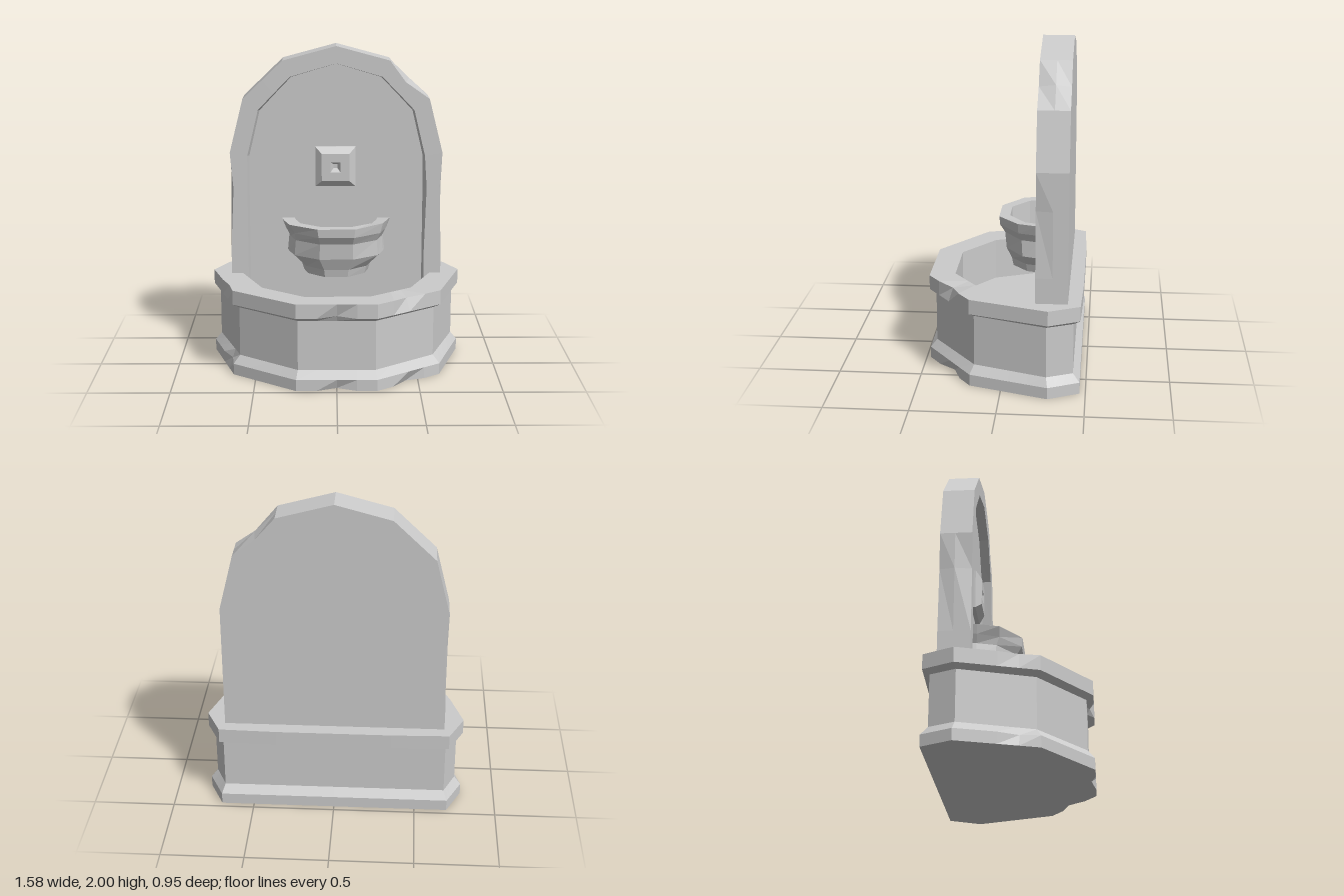
import * as THREE from 'three';

const stone = () => new THREE.MeshStandardMaterial({ color: 0xcccccc, flatShading: true, side: THREE.DoubleSide });

// Skin a series of equal-length cross-sections with flat facets.
function loft(name, rings, closed) {
  const pos = [];
  for (let i = 0; i < rings.length - 1; i++) {
    const lo = rings[i], hi = rings[i + 1], n = lo.length;
    for (let j = 0; j < (closed ? n : n - 1); j++) {
      const k = (j + 1) % n;
      pos.push(...lo[j], ...lo[k], ...hi[k], ...lo[j], ...hi[k], ...hi[j]);
    }
  }
  const geo = new THREE.BufferGeometry();
  geo.setAttribute('position', new THREE.Float32BufferAttribute(pos, 3));
  geo.computeVertexNormals();
  const mesh = new THREE.Mesh(geo, stone());
  mesh.name = name;
  return mesh;
}

// A cross-section collapsed to one point, used to cap a loft.
const cap = (ring, p) => ring.map(() => p);

// Knock worn chips into a loft: [ring, point, dx, dy, dz].
function chip(rings, chips) {
  for (const [r, i, ...d] of chips) rings[r][i] = rings[r][i].map((v, k) => v + d[k]);
}

// Complete a right-to-left outline whose last point lies on the centre line.
const mirrorArch = (half) => [...half, ...half.slice(0, -1).reverse().map(([x, y]) => [-x, y])];

// Left half of a plan, mirrored, with every edge split in four.
function plan(half, y) {
  const pts = [...half, ...[...half].reverse().map(([x, z]) => [-x, z])];
  return pts.flatMap(([x, z], i) => {
    const [x2, z2] = pts[(i + 1) % pts.length];
    return [0, 0.25, 0.5, 0.75].map((t) => [x + (x2 - x) * t, y, z + (z2 - z) * t]);
  });
}

function makeBasin() {
  const outer = [[-0.7, -0.465], [-0.79, -0.28], [-0.64, 0.19], [-0.245, 0.475]];
  const body = [[-0.68, -0.425], [-0.75, -0.27], [-0.6, 0.165], [-0.235, 0.435]];
  const inner = [[-0.56, -0.34], [-0.6, -0.2], [-0.46, 0.13], [-0.2, 0.32]];
  const rings = [
    plan(outer, 0), plan(outer, 0.07), plan(body, 0.12), plan(body, 0.43),
    plan(outer, 0.455), plan(outer, 0.545), plan(inner, 0.545), plan(inner, 0.28),
  ];
  chip(rings, [
    // Plinth
    [0, 14, 0, 0.01, -0.025], [0, 18, -0.02, 0, -0.03], [1, 7, 0.025, 0, 0],
    // Rim
    [4, 14, 0, 0.01, -0.025], [5, 18, -0.02, -0.01, -0.025], [5, 7, 0.012, 0, 0],
    // Slightly bowed back of the rim
    ...[4, 5].flatMap((r) => [29, 30, 31].map((i) => [r, i, 0, 0, -0.01])),
  ]);
  rings.unshift(cap(rings[0], [0, 0, 0]));
  rings.push(cap(rings[0], [0, 0.28, 0]));
  return loft('basin', rings, true);
}

const PANEL_Z = -0.26;

function makeWall() {
  const wall = new THREE.Group();
  wall.name = 'backWall';
  const outer = mirrorArch([[0.67, 0.28], [0.67, 0.7], [0.67, 1.1], [0.67, 1.33],
    [0.585, 1.67], [0.46, 1.79], [0.335, 1.91], [0, 2]]);
  const inner = mirrorArch([[0.562, 0.28], [0.562, 0.7], [0.562, 1.1], [0.56, 1.31],
    [0.49, 1.6], [0.39, 1.705], [0.287, 1.81], [0, 1.893]]);
  const at = (pts, z) => pts.map(([x, y]) => [x, y, z]);
  const panel = at(inner, PANEL_Z).map(([x, y, z]) => [x * 0.982, y > 1.3 ? y - 0.008 : y, z]);

  // Arched frame with a flat back
  const frame = [at(outer, -0.39), at(outer, -0.3), at(outer, -0.2), at(inner, -0.2), panel];
  chip(frame, [
    [2, 5, -0.025, -0.015, 0], [2, 2, -0.015, 0, 0], [2, 12, 0.02, 0, 0],
    [0, 12, 0.015, 0, 0], [0, 5, -0.01, -0.012, 0], [3, 2, 0.012, 0, 0],
  ]);
  frame.unshift(cap(outer, [0, 0.28, -0.39]));
  wall.add(loft('archFrame', frame, false));

  // Recessed panel
  wall.add(loft('recessedPanel', [panel, cap(panel, [0, 0.28, PANEL_Z])], false));
  return wall;
}

function makeBowl() {
  // Half-round plan in units of half width and front depth
  const arc = [[-1, 0], [-0.97, 0.19], [-0.85, 0.6], [-0.34, 1],
    [0.34, 1], [0.85, 0.6], [0.97, 0.19], [1, 0]];
  // Height, half width, depth: up the outside, over the lip, down the inside
  const profile = [[0.565, 0.21, 0.23], [0.615, 0.225, 0.24], [0.69, 0.31, 0.27], [0.79, 0.3, 0.28],
    [0.84, 0.325, 0.31], [0.895, 0.345, 0.315], [0.895, 0.265, 0.25], [0.72, 0.26, 0.245]];
  const rings = profile.map(([y, w, d]) => arc.map(([x, z]) => [x * w, y, PANEL_Z + z * d]));
  chip(rings, [[5, 5, 0, 0.01, 0], [5, 6, 0, 0.01, 0], [4, 2, 0.015, 0, 0]]);
  rings.unshift(cap(arc, [0, 0.565, PANEL_Z]));
  rings.push(cap(arc, [0, 0.72, PANEL_Z]));
  return loft('bowl', rings, false);
}

function makeSpout() {
  // Bevelled block with a square hole: half size, z
  const steps = [[0.127, PANEL_Z], [0.127, -0.235], [0.087, -0.2], [0.033, -0.2], [0.012, -0.25], [0, -0.25]];
  const rings = steps.map(([s, z]) => [[1, 1], [-1, 1], [-1, -1], [1, -1]]
    .map(([x, y]) => [x * s - 0.004, 1.235 + y * s, z]));
  return loft('spout', rings, true);
}

export function createModel() {
  const fountain = new THREE.Group();
  fountain.name = 'wallFountain';
  fountain.add(makeBasin(), makeWall(), makeBowl(), makeSpout());
  return fountain;
}
